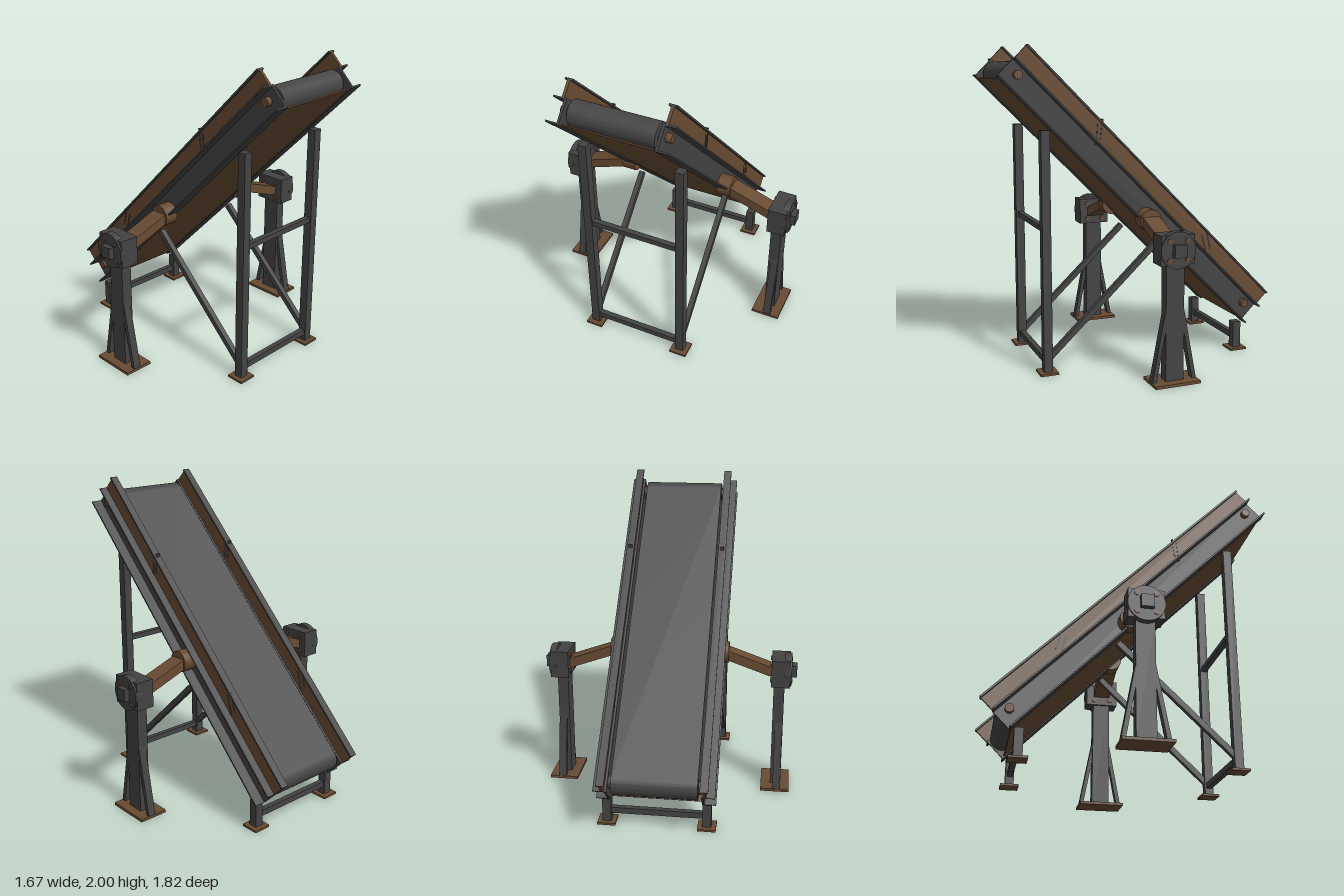
import * as THREE from 'three';
import { toCreasedNormals } from 'three/addons/utils/BufferGeometryUtils.js';

const steel = new THREE.MeshStandardMaterial({ color: 0x434343 });
steel.name = 'dark steel';
const rubber = new THREE.MeshStandardMaterial({ color: 0x464646 });
rubber.name = 'belt rubber';
const rust = new THREE.MeshStandardMaterial({ color: 0x684b32 });
rust.name = 'rusty brown';

function add(parent, name, geometry, material, x = 0, y = 0, z = 0) {
  const mesh = new THREE.Mesh(geometry, material);
  mesh.name = name;
  mesh.position.set(x, y, z);
  parent.add(mesh);
  return mesh;
}

function box(parent, name, material, w, h, d, x, y, z) {
  return add(parent, name, new THREE.BoxGeometry(w, h, d), material, x, y, z);
}

// Cylinder lying along x
function rod(parent, name, material, r, length, x, y, z, sides = 24) {
  const g = new THREE.CylinderGeometry(r, r, length, sides).rotateZ(Math.PI / 2);
  return add(parent, name, g, material, x, y, z);
}

// Rectangular bar between two points, its length along local z
function bar(parent, name, material, w, h, from, to) {
  const a = new THREE.Vector3(...from), b = new THREE.Vector3(...to);
  const mesh = box(parent, name, material, w, h, a.distanceTo(b), 0, 0, 0);
  mesh.position.copy(a).add(b).multiplyScalar(0.5);
  mesh.lookAt(b);
  return mesh;
}

// Closed belt loop around the two pulleys
function beltGeometry(half, r, width) {
  const shape = new THREE.Shape();
  shape.moveTo(-half, -r);
  shape.lineTo(half, -r);
  shape.absarc(half, 0, r, -Math.PI / 2, Math.PI / 2, false);
  shape.lineTo(-half, r);
  shape.absarc(-half, 0, r, Math.PI / 2, Math.PI * 1.5, false);
  const g = new THREE.ExtrudeGeometry(shape, { depth: width, bevelEnabled: false, curveSegments: 16 });
  g.rotateY(-Math.PI / 2).translate(width / 2, 0, 0);
  return toCreasedNormals(g, 0.6);
}

function buildConveyor() {
  const c = new THREE.Group();
  c.name = 'conveyor';
  c.position.set(0, 1.09, 0.003);
  c.rotation.x = -Math.PI / 4;
  const L = 2.312;

  add(c, 'belt', beltGeometry(1.075, 0.078, 0.526), rubber, 0, -0.035, 0);
  box(c, 'bottomPan', rust, 0.57, 0.008, 2.265, 0, -0.121, -0.005);

  for (const s of [-1, 1]) {
    // Outward facing channel
    box(c, 'channelWeb', steel, 0.015, 0.152, L, s * 0.2925, -0.055, 0);
    for (const y of [-0.126, 0.016]) {
      box(c, 'channelFlange', steel, 0.085, 0.01, L, s * 0.3275, y, 0);
    }
    // Skirt board with top flange and direction arrows
    box(c, 'skirtBoard', rust, 0.018, 0.102, L, s * 0.309, 0.07, 0);
    box(c, 'skirtFlange', steel, 0.05, 0.012, L, s * 0.309, 0.125, 0);
    for (const apex of [-0.5, 0.538]) {
      for (const k of [-1, 1]) {
        bar(c, 'directionArrow', steel, 0.024, 0.009,
          [s * 0.309, 0.075, apex], [s * 0.309, 0.075 + k * 0.042, apex - 0.118]);
      }
    }
    // Pulley bearings and shaft ends
    for (const z of [-1.075, 1.075]) {
      rod(c, 'pulleyBearing', steel, 0.045, 0.02, s * 0.275, -0.035, z);
      rod(c, 'shaftEnd', rust, 0.027, 0.035, s * 0.316, -0.035, z);
    }
  }
  return c;
}

function buildFrame() {
  const f = new THREE.Group();
  f.name = 'supportFrame';
  for (const s of [-1, 1]) {
    const x = s * 0.312;
    box(f, 'tallLeg', steel, 0.055, 1.49, 0.055, x, 0.755, 0.635);
    box(f, 'shortLeg', steel, 0.055, 0.178, 0.055, x, 0.099, -0.672);
    for (const z of [0.635, -0.672]) {
      box(f, 'footPlate', rust, 0.115, 0.014, 0.115, x, 0.007, z);
    }
    bar(f, 'diagonalBrace', steel, 0.035, 0.035, [x, 0.1, 0.62], [x, 0.775, -0.095]);
  }
  box(f, 'lowerCrossbar', steel, 0.58, 0.038, 0.035, 0, 0.077, 0.635);
  box(f, 'upperCrossbar', steel, 0.58, 0.034, 0.035, 0, 0.902, 0.635);
  box(f, 'rearCrossbar', steel, 0.58, 0.038, 0.035, 0, 0.085, -0.672);
  return f;
}

// Side stand with drive housing and tilted arm
function buildStand(s) {
  const g = new THREE.Group();
  g.name = s > 0 ? 'leftStand' : 'rightStand';
  const z = -0.022, y = 0.82;
  box(g, 'basePlate', rust, 0.19, 0.018, 0.292, s * 0.72, 0.009, z);
  box(g, 'column', steel, 0.07, 0.73, 0.116, s * 0.722, 0.38, z);
  for (const k of [-1, 1]) {
    bar(g, 'columnBrace', steel, 0.05, 0.026,
      [s * 0.73, 0.012, z + k * 0.13], [s * 0.73, 0.46, z + k * 0.045]);
  }
  box(g, 'driveHousing', steel, 0.12, 0.18, 0.215, s * 0.73, y, z);
  rod(g, 'driveDisc', steel, 0.111, 0.045, s * 0.777, y, z, 32);
  box(g, 'driveCap', steel, 0.04, 0.076, 0.078, s * 0.814, y, z);
  for (const a of [-1, 1]) {
    for (const b of [-1, 1]) {
      rod(g, 'housingBolt', rust, 0.015, 0.144, s * 0.733, y + a * 0.057, z + b * 0.057, 12);
    }
  }
  bar(g, 'supportArm', rust, 0.11, 0.062, [s * 0.37, 0.923, z - 0.003], [s * 0.675, 0.815, z - 0.003]);
  rod(g, 'armFlange', rust, 0.07, 0.09, s * 0.345, 0.925, z - 0.003, 24);
  return g;
}

export function createModel() {
  const model = new THREE.Group();
  model.name = 'inclinedConveyor';
  model.add(buildConveyor(), buildFrame(), buildStand(1), buildStand(-1));
  return model;
}
